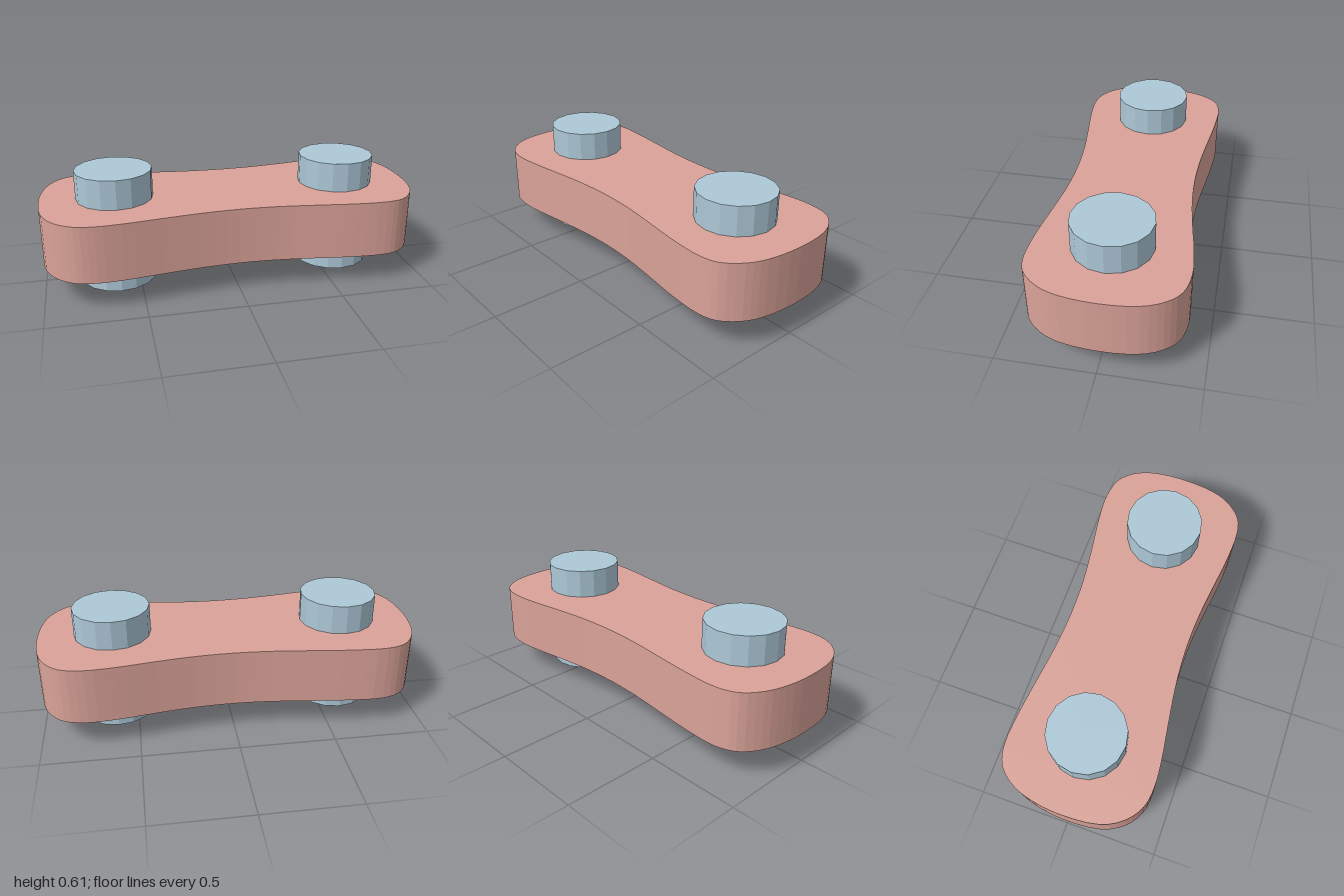
import * as THREE from 'three';

export function createModel() {
  const pink = new THREE.MeshStandardMaterial({ name: 'dusty pink', color: 0xd9a298 });
  const blue = new THREE.MeshStandardMaterial({ name: 'pale steel blue', color: 0xadc8d7 });
  const grey = new THREE.MeshStandardMaterial({ name: 'underside grey', color: 0xb2b2b2 });
  const model = new THREE.Group();
  model.name = 'chainLink';

  // Waisted outline of the link as x, z pairs
  const outline = [
    [-1, 0], [-0.98, 0.2], [-0.92, 0.31], [-0.83, 0.375], [-0.73, 0.393], [-0.6, 0.386],
    [-0.4, 0.358], [-0.2, 0.332], [0, 0.32], [0.2, 0.327], [0.4, 0.35], [0.6, 0.375],
    [0.77, 0.38], [0.86, 0.355], [0.94, 0.27], [0.98, 0.17], [1, -0.02], [0.983, -0.2],
    [0.94, -0.3], [0.87, -0.368], [0.75, -0.395], [0.6, -0.386], [0.4, -0.356], [0.2, -0.332],
    [0, -0.325], [-0.2, -0.335], [-0.4, -0.358], [-0.6, -0.38], [-0.78, -0.385],
    [-0.88, -0.35], [-0.95, -0.26], [-0.985, -0.15],
  ].map(([x, z]) => new THREE.Vector3(x, -z, 0));
  const curve = new THREE.CatmullRomCurve3(outline, true);
  const shape = new THREE.Shape(curve.getPoints(96).slice(0, -1).map((p) => new THREE.Vector2(p.x, p.y)));

  // Link plate: the first half of the lid faces is the underside
  const geometry = new THREE.ExtrudeGeometry(shape, { depth: 0.3, bevelEnabled: false });
  geometry.rotateX(-Math.PI / 2);
  const [lids, sides] = geometry.groups;
  geometry.clearGroups();
  geometry.addGroup(0, lids.count / 2, 1);
  geometry.addGroup(lids.count / 2, lids.count / 2, 0);
  geometry.addGroup(sides.start, sides.count, 0);
  const plate = new THREE.Mesh(geometry, [pink, grey]);
  plate.name = 'linkPlate';
  plate.position.y = 0.155;
  model.add(plate);

  // Faceted pins passing through both ends
  const pinGeometry = new THREE.CylinderGeometry(0.202, 0.202, 0.61, 16).toNonIndexed();
  pinGeometry.computeVertexNormals();
  for (const [name, x, z] of [['leftPin', 0.61, -0.006], ['rightPin', -0.61, 0.003]]) {
    const pin = new THREE.Mesh(pinGeometry, blue);
    pin.name = name;
    pin.position.set(x, 0.305, z);
    model.add(pin);
  }
  return model;
}
